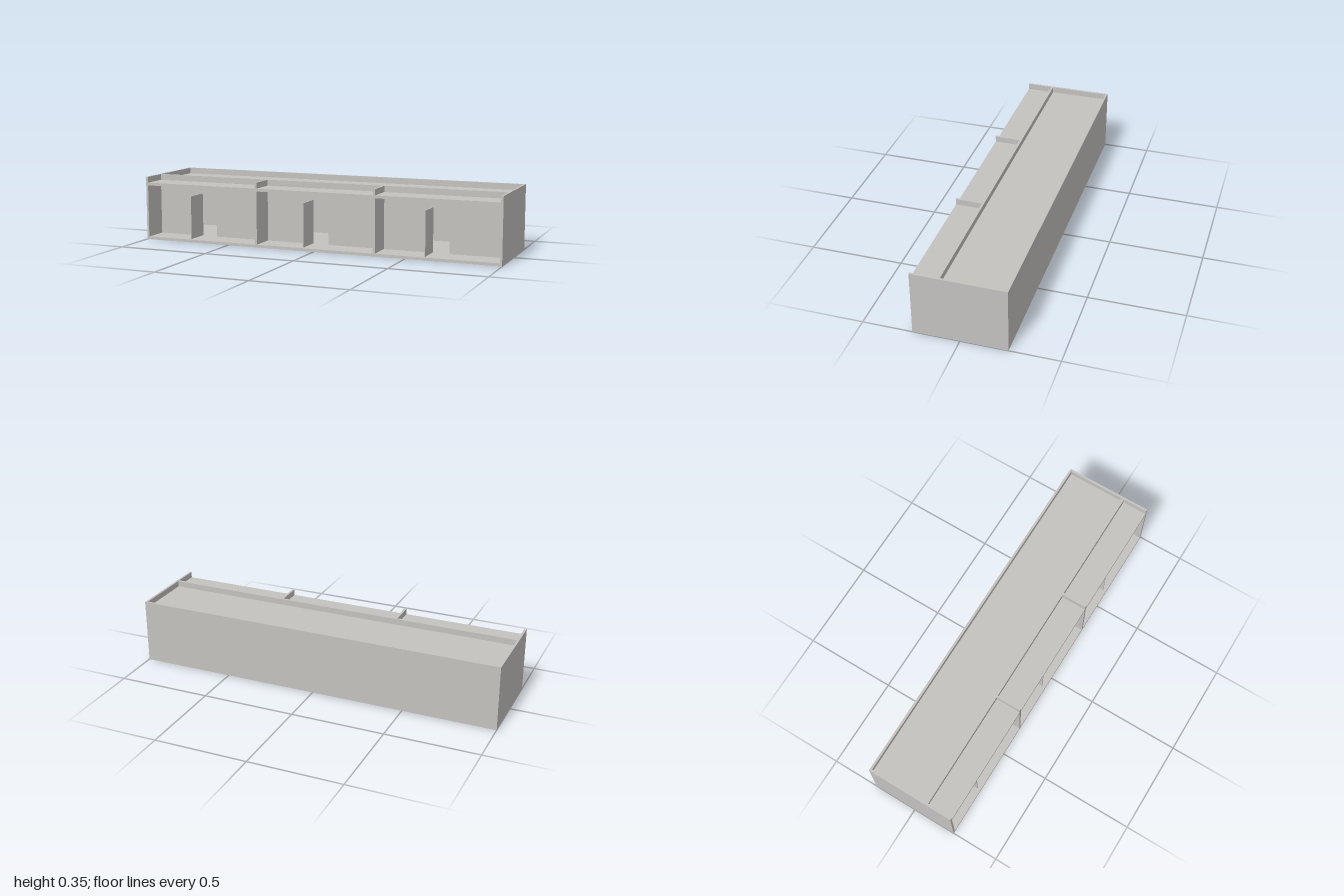
import * as THREE from 'three';

export function createModel() {
  const model = new THREE.Group();
  const plaster = new THREE.MeshStandardMaterial({ color: 0xc4c2bf });
  plaster.name = 'warm grey plaster';

  const H = 0.347, D = 0.242, T = 0.012; // height, half depth, wall thickness
  const FLOOR = 0.015, ROOF = 0.315, ROOF_T = 0.015;
  const WALL_Z0 = 0.091, WALL_Z1 = 0.104; // wall with the doorways
  const DOOR_W = 0.092, DOOR_TOP = 0.25, UNIT = 2 / 3;
  const doorways = [-1, 0, 1].map((i) => i * UNIT - 0.065);

  // Box given by its two opposite corners
  function box(name, x0, x1, y0, y1, z0, z1) {
    const mesh = new THREE.Mesh(new THREE.BoxGeometry(x1 - x0, y1 - y0, z1 - z0), plaster);
    mesh.position.set((x0 + x1) / 2, (y0 + y1) / 2, (z0 + z1) / 2);
    mesh.name = name;
    model.add(mesh);
  }

  // Shell: floor, back wall, end walls
  box('floor', -1, 1, 0, FLOOR, -D, D);
  box('backWall', -1 + T, 1 - T, FLOOR, H, -D, -D + T);
  box('rightEndWall', -1, -1 + T, FLOOR, H, -D, D);
  box('leftEndWall', 1 - T, 1, FLOOR, H, -D, D);

  // Long inner wall with three doorways cut down to the floor
  const shape = new THREE.Shape();
  shape.moveTo(-1 + T, FLOOR);
  for (const x of doorways) {
    shape.lineTo(x, FLOOR);
    shape.lineTo(x, DOOR_TOP);
    shape.lineTo(x + DOOR_W, DOOR_TOP);
    shape.lineTo(x + DOOR_W, FLOOR);
  }
  shape.lineTo(1 - T, FLOOR);
  shape.lineTo(1 - T, H);
  shape.lineTo(-1 + T, H);
  shape.closePath();
  const inner = new THREE.Mesh(
    new THREE.ExtrudeGeometry(shape, { depth: WALL_Z1 - WALL_Z0, bevelEnabled: false }), plaster);
  inner.position.z = WALL_Z0;
  inner.name = 'doorwayWall';
  model.add(inner);

  // Partitions between the three front bays
  for (const x of [-UNIT / 2, UNIT / 2]) {
    box('bayPartition', x - T / 2, x + T / 2, FLOOR, H, WALL_Z1, D);
  }

  // Door leaves standing open towards the front
  for (const x of doorways) {
    box('doorLeaf', x - 0.005, x, FLOOR, DOOR_TOP, WALL_Z1, WALL_Z1 + 0.12);
  }

  // Roof slabs, sunk below the wall tops
  box('rearRoof', -1 + T, 1 - T, ROOF - ROOF_T, ROOF, -D + T, WALL_Z0);
  const edges = [-1 + T, -UNIT / 2 - T / 2, -UNIT / 2 + T / 2, UNIT / 2 - T / 2, UNIT / 2 + T / 2, 1 - T];
  for (let i = 0; i < 6; i += 2) {
    box('bayRoof', edges[i], edges[i + 1], ROOF - ROOF_T, ROOF, WALL_Z1, D);
  }

  return model;
}
